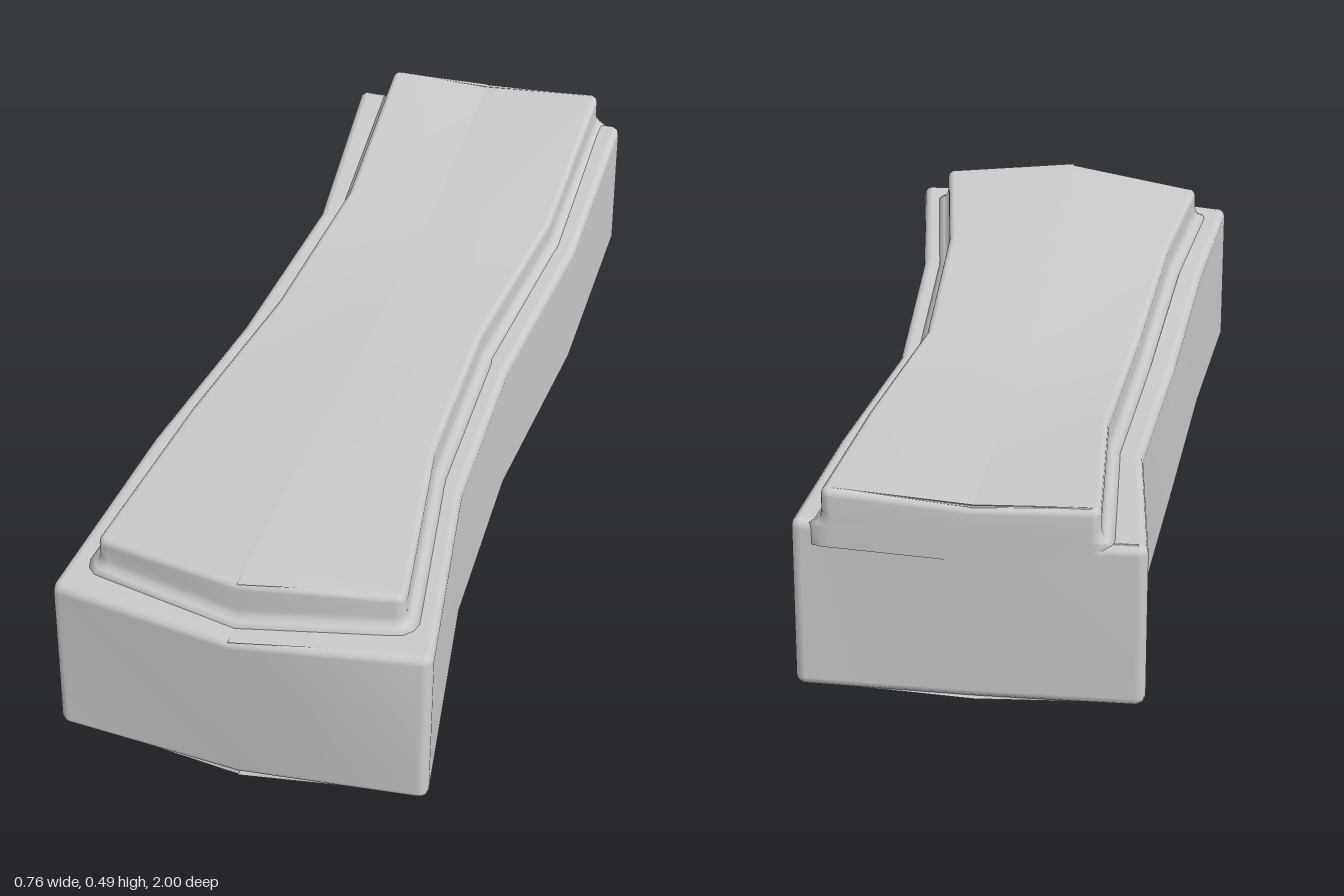
import * as THREE from 'three';

// Each column runs back to front; a row is [x, z, bottomY, topY, bottomZShift].
const BODY = {
  right: [[0.34, -0.985, 0.065, 0.405, -0.012], [0.335, -0.5, 0.035, 0.357, 0], [0.29, -0.03, 0.012, 0.347, 0],
    [0.31, 0.45, 0.05, 0.396, 0], [0.382, 0.957, 0.057, 0.412, 0.02]],
  spine: [[0, -1, 0.06, 0.385, 0], [0, -0.5, 0.01, 0.345, 0], [0, -0.03, 0.01, 0.345, 0],
    [0, 0.45, 0.05, 0.39, 0], [0, 1, 0.02, 0.4, -0.025]],
  left: [[-0.32, -1, 0.06, 0.39, 0], [-0.277, -0.5, 0, 0.35, 0], [-0.31, -0.03, 0.018, 0.345, 0],
    [-0.345, 0.45, 0.05, 0.392, 0], [-0.382, 0.935, 0.034, 0.388, 0.02]],
};
const SLAB = {
  right: [[0.28, -0.998, 0.4, 0.475, 0], [0.275, -0.5, 0.354, 0.421, 0], [0.227, -0.05, 0.346, 0.417, 0],
    [0.245, 0.42, 0.394, 0.466, 0], [0.31, 0.882, 0.409, 0.482, 0]],
  spine: [[0, -1.0, 0.385, 0.455, 0], [0, -0.5, 0.345, 0.415, 0], [0, -0.05, 0.345, 0.42, 0],
    [0, 0.42, 0.39, 0.47, 0], [0, 0.935, 0.4, 0.489, 0]],
  left: [[-0.235, -1.0, 0.389, 0.461, 0], [-0.208, -0.5, 0.349, 0.42, 0], [-0.235, -0.05, 0.345, 0.416, 0],
    [-0.27, 0.42, 0.392, 0.464, 0], [-0.31, 0.862, 0.39, 0.461, 0]],
};

const CORNER = 0.02;

// Plan outline: each point keeps its row and an outward direction; the four corners are rounded
function outline({ right, spine, left }) {
  const pts = [];
  const add = (row, nx, nz) => pts.push({ row, nx, nz, r: 0 });
  const corner = (row, a0, sx, sz) => {
    for (let k = 0; k <= 3; k++) {
      const a = a0 + (k / 3) * Math.PI / 2;
      pts.push({ row, nx: Math.cos(a), nz: Math.sin(a), r: CORNER, sx, sz });
    }
  };
  corner(right[0], -Math.PI / 2, 1, -1);
  for (let i = 1; i < 4; i++) add(right[i], 1, 0);
  corner(right[4], 0, 1, 1);
  add(spine[4], 0, 1);
  corner(left[4], Math.PI / 2, -1, 1);
  for (let i = 3; i > 0; i--) add(left[i], -1, 0);
  corner(left[0], Math.PI, -1, -1);
  add(spine[0], 0, -1);
  return pts;
}

// Height of the centre line at a given z
function spineY(spine, z, col) {
  let i = 0;
  while (i < 3 && z > spine[i + 1][1]) i++;
  const t = THREE.MathUtils.clamp((z - spine[i][1]) / (spine[i + 1][1] - spine[i][1]), 0, 1);
  return THREE.MathUtils.lerp(spine[i][col], spine[i + 1][col], t);
}

// Stack outline loops; a ring is { top, inset, dy, collapse }, where collapse closes onto the centre line
function stack(form, rings) {
  const pts = outline(form), n = pts.length, pos = [], index = [];
  for (const { top, inset, dy, collapse } of rings) {
    for (const p of pts) {
      const [x0, z0, yb, yt, shift] = p.row;
      const zi = p.nz < 0 ? Math.max(inset, 0) : inset;
      const x = x0 - (p.sx ?? 0) * p.r + (p.r - inset) * p.nx;
      const z = z0 - (p.sz ?? 0) * p.r + (p.r - zi) * p.nz + (top ? 0 : shift);
      if (collapse) pos.push(0, spineY(form.spine, z, top ? 3 : 2) + dy, z);
      else pos.push(x, (top ? yt : yb) + dy, z);
    }
  }
  for (let j = 0; j < rings.length - 1; j++) {
    for (let i = 0; i < n; i++) {
      const a = j * n + i, b = j * n + (i + 1) % n;
      index.push(a, a + n, b + n, a, b + n, b);
    }
  }
  const g = new THREE.BufferGeometry();
  g.setAttribute('position', new THREE.Float32BufferAttribute(pos, 3));
  g.setIndex(index);
  g.computeVertexNormals();
  return g;
}

// Quarter-round edge at the top or the bottom, ordered upwards
function roundEdge(top, r) {
  const rings = [];
  for (let k = 0; k <= 3; k++) {
    const a = (k / 3) * Math.PI / 2;
    rings.push(top
      ? { top, inset: r * (1 - Math.cos(a)), dy: -r * (1 - Math.sin(a)) }
      : { top, inset: r * (1 - Math.sin(a)), dy: r * (1 - Math.cos(a)) });
  }
  return rings;
}

export function createModel() {
  const group = new THREE.Group();
  group.name = 'steppedBlock';
  const material = new THREE.MeshStandardMaterial({ color: 0xcccccc });
  const add = (name, geometry) => {
    const mesh = new THREE.Mesh(geometry, material);
    mesh.name = name;
    group.add(mesh);
  };

  // Main block with rounded edges
  add('body', stack(BODY, [
    { top: false, inset: 0, dy: 0, collapse: true },
    ...roundEdge(false, 0.018),
    ...roundEdge(true, 0.018),
    { top: true, inset: 0, dy: 0, collapse: true },
  ]));

  // Raised slab, flared at the foot into the ledge
  add('raisedSlab', stack(SLAB, [
    { top: false, inset: -0.024, dy: -0.04 },
    { top: false, inset: -0.024, dy: 0 },
    { top: false, inset: -0.012, dy: 0.006 },
    { top: false, inset: -0.004, dy: 0.014 },
    { top: false, inset: 0, dy: 0.026 },
    ...roundEdge(true, 0.014),
    { top: true, inset: 0, dy: 0, collapse: true },
  ]));
  return group;
}
